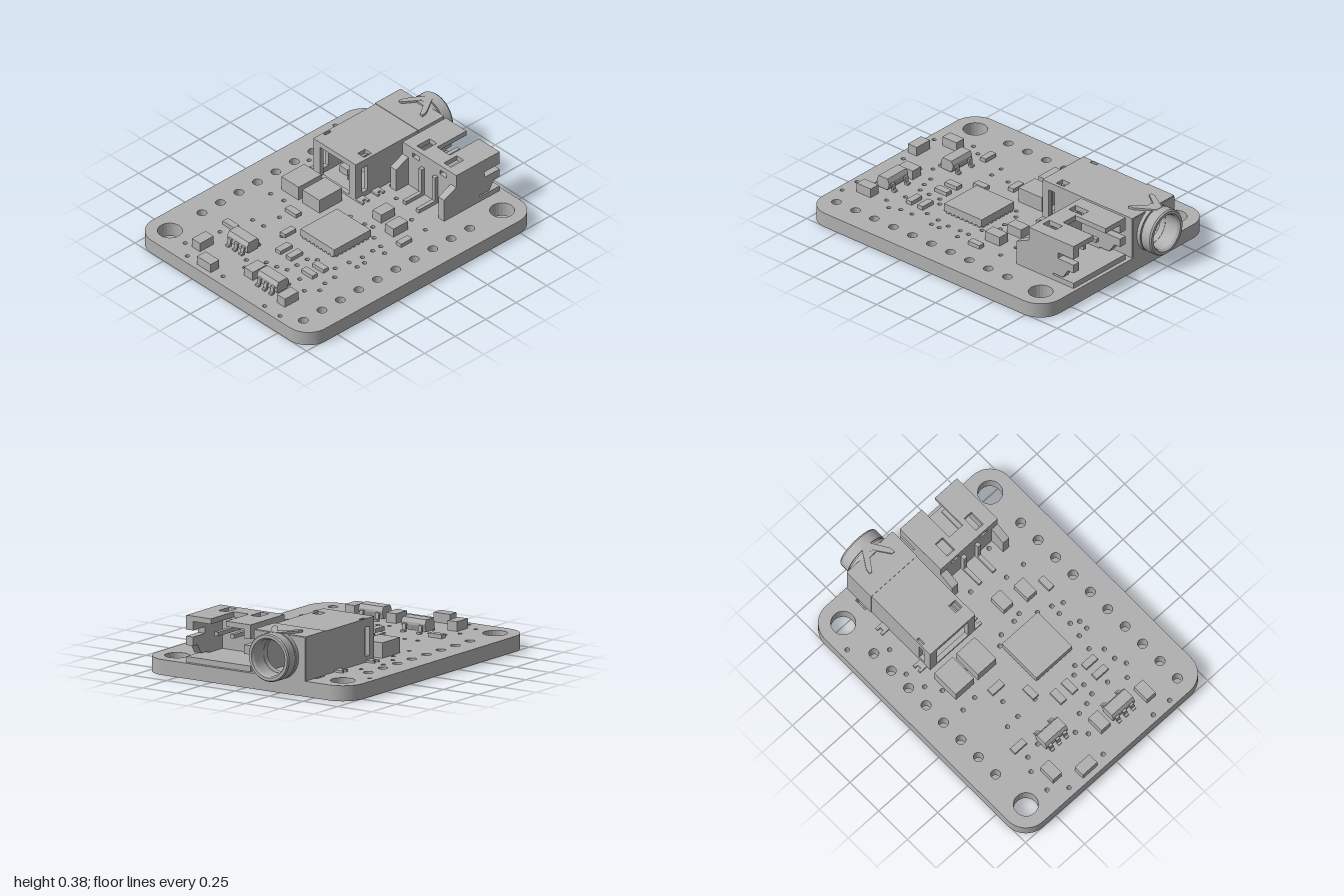
import * as THREE from 'three';

const grey = new THREE.MeshStandardMaterial({ color: 0xb0b0b0, side: THREE.DoubleSide });
grey.name = 'grey';

export function createModel() {
  const model = new THREE.Group();
  model.name = 'circuitBoardWithConnectors';

  const add = (name, geo, parent = model) => {
    const m = new THREE.Mesh(geo, grey);
    m.name = name;
    parent.add(m);
    return m;
  };
  const group = (name) => {
    const g = new THREE.Group();
    g.name = name;
    model.add(g);
    return g;
  };
  // box from its limits
  const box = (name, x0, x1, y0, y1, z0, z1, parent) => add(name,
    new THREE.BoxGeometry(x1 - x0, y1 - y0, z1 - z0)
      .translate((x0 + x1) / 2, (y0 + y1) / 2, (z0 + z1) / 2), parent);
  const poly = (pts) => new THREE.Shape(pts.map(([a, b]) => new THREE.Vector2(a, b)));
  const rect = (a0, a1, b0, b1) => poly([[a0, b0], [a1, b0], [a1, b1], [a0, b1]]);
  const circle = (a, b, r) => {
    const p = new THREE.Path();
    p.absarc(a, b, r, 0, Math.PI * 2, true);
    return p;
  };
  const extrude = (shape, holes, depth, curveSegments = 12) => {
    shape.holes.push(...holes);
    return new THREE.ExtrudeGeometry(shape, { depth, bevelEnabled: false, curveSegments });
  };
  // plates drawn as (x,-z), (-z,y) and (x,y), with thickness along y, x and z
  const plateY = (s, holes, y0, y1) => extrude(s, holes, y1 - y0).rotateX(-Math.PI / 2).translate(0, y0, 0);
  const plateX = (s, holes, x0, x1) => extrude(s, holes, x1 - x0, 24).rotateY(Math.PI / 2).translate(x0, 0, 0);
  const plateZ = (s, holes, z0, z1) => extrude(s, holes, z1 - z0).translate(0, 0, z0);

  const T = 0.095; // top of the board

  // board with rounded corners, mounting holes, pin holes, vias and jack holes
  const b = new THREE.Shape();
  const [X0, X1, Z, R] = [-1, 0.89, 0.755, 0.15];
  b.absarc(X1 - R, Z - R, R, 0, Math.PI / 2);
  b.absarc(X0 + R, Z - R, R, Math.PI / 2, Math.PI);
  b.absarc(X0 + R, -Z + R, R, Math.PI, Math.PI * 1.5);
  b.absarc(X1 - R, -Z + R, R, Math.PI * 1.5, Math.PI * 2);
  const holes = [[-0.85, -0.605], [0.74, -0.605], [0.74, 0.605]].map(([x, z]) => circle(x, -z, 0.075));
  for (let i = 0; i < 10; i++) {
    const x = -0.89 + i * 0.1515;
    holes.push(circle(x, -0.605, 0.03));
    if (i > 1) holes.push(circle(x, 0.605, 0.03));
  }
  const vias = [
    -.87, -.45, -.72, -.44, -.95, -.345, -.64, -.39, -.155, -.465, .02, -.47, .11, -.53, .245, -.555,
    .425, -.52, .6, -.705, -.415, -.345, -.41, -.255, -.28, -.255, -.145, -.36, .02, -.285, -.62, -.29,
    -.935, -.05, -.72, -.075, -.78, -.025, -.4, -.105, -.65, .025, -.635, .1, -.61, .165, -.535, .17,
    -.45, .17, -.62, .285, -.41, .215, -.39, .35, -.96, .34, -.96, .475, -.68, .39, -.61, .45,
    -.54, .42, -.455, .415, -.29, .365, -.285, .43, -.225, .43, -.195, .38, -.105, .375, -.04, .375,
    -.07, .44, -.01, -.025, .035, .03, .045, .145, .06, .2, -.01, .285, .28, .305, .27, .435,
    .43, -.03, .36, .085, .485, .355];
  for (let i = 0; i < vias.length; i += 2) holes.push(circle(vias[i], -vias[i + 1], 0.0135));
  holes.push(circle(0.312, 0.242, 0.033), circle(0.727, 0.242, 0.033));
  for (const z of [-0.437, -0.055]) holes.push(rect(0.71, 0.795, -z - 0.015, -z + 0.015));
  add('board', plateY(b, holes, 0, T));

  // small parts: centre x, centre z, size x, size z, top
  const chips = [
    [-.81, -.36, .112, .07, .155], [-.93, -.185, .07, .118, .155], [-.555, -.387, .043, .096, .12],
    [-.78, .067, .112, .075, .155], [-.825, .398, .112, .07, .155], [-.488, .005, .096, .046, .12],
    [-.488, .097, .096, .046, .12], [-.547, .292, .043, .096, .12], [-.457, .292, .043, .096, .12],
    [-.355, -.098, .091, .043, .12], [-.192, -.227, .046, .096, .12], [.137, .323, .117, .075, .155],
    [.177, .17, .112, .075, .155], [.085, .447, .091, .043, .12],
    [.015, -.377, .187, .15, .19], [.015, -.195, .187, .15, .19]];
  chips.forEach(([x, z, w, d, top], i) =>
    box('component' + (i + 1), x - w / 2, x + w / 2, T, top, z - d / 2, z + d / 2));

  // main square chip with a row of pads along its underside
  box('mainChip', -0.325, -0.025, 0.105, 0.155, -0.022, 0.272);
  for (let i = 0; i < 8; i++) {
    const t = 0.035 * (i - 3.5);
    box('chipPadRow', -0.175 + t - 0.009, -0.175 + t + 0.009, T, 0.106, -0.022, 0.272);
    box('chipPadRow', -0.325, -0.025, T, 0.106, 0.125 + t - 0.009, 0.125 + t + 0.009);
  }

  // five-legged regulators
  for (const [x, z] of [[-0.635, -0.192], [-0.78, 0.222]]) {
    const g = group('regulator');
    const c = [[-.048, .11], [-.048, .155], [-.035, .18], [.035, .18], [.048, .155], [.048, .14], [.035, .105], [-.035, .105]];
    add('regulatorBody', plateZ(poly(c), [], -0.087, 0.087), g);
    for (const [s, dz] of [[-1, -.058], [-1, 0], [-1, .058], [1, -.058], [1, .058]]) {
      const leg = [[.045, .145], [.062, .145], [.066, .107], [.08, .107], [.08, T], [.056, T], [.052, .133], [.045, .133]];
      add('regulatorLeg', plateZ(poly(leg.map(([u, v]) => [u * s, v])), [], dz - 0.013, dz + 0.013), g);
    }
    g.position.set(x, 0, z);
  }

  // audio jack: hollow housing
  const jack = group('audioJack');
  const [J0, J1, JT, ZA, ZB] = [0.165, 0.88, 0.362, -0.433, -0.062];
  const JZ = -0.242, JY = 0.232;
  add('jackRoof', plateY(rect(J0, J1, -ZB, -ZA),
    [rect(0.24, 0.29, 0.408, 0.425), rect(0.255, 0.315, 0.085, 0.14)], JT - 0.03, JT), jack);
  add('jackBackSideWall', plateZ(rect(J0, J1, T, JT - 0.03),
    [rect(0.215, 0.26, 0.13, 0.31), rect(0.7, 0.75, 0.25, 0.29)], ZA, ZA + 0.03), jack);
  add('jackFrontSideWall', plateZ(rect(J0, J1, T, JT - 0.03),
    [rect(0.215, 0.26, 0.13, 0.31)], ZB - 0.03, ZB), jack);
  add('jackRearFrame', plateX(rect(-ZB, -ZA, T, JT - 0.03), [rect(0.12, 0.375, 0.11, 0.325)], J0, J0 + 0.03), jack);
  add('jackFacePlate', plateX(rect(-ZB, -ZA, T, JT), [circle(-JZ, JY, 0.11)], J1 - 0.03, 0.89), jack);
  box('jackShieldTop', 0.675, 0.885, JT - 0.002, JT + 0.004, -0.437, -0.058, jack);
  for (const z of [-0.437, -0.063]) box('jackShieldSide', 0.675, 0.885, T, JT, z, z + 0.005, jack);
  box('jackContact', 0.3, 0.6, 0.2, 0.265, -0.185, -0.13, jack);
  box('jackContact', 0.3, 0.6, T, 0.14, -0.35, -0.28, jack);
  box('jackContact', 0.255, 0.315, 0.3, 0.345, -0.115, -0.108, jack);

  // jack barrel
  const ring = [[.112, .86], [.147, .86], [.147, .915], [.138, .915], [.138, .925], [.147, .925],
    [.147, .99], [.14, 1], [.122, 1], [.112, .985], [.112, .86]];
  const lathePts = [];
  ring.forEach((p, i) => { // doubled points keep the edges sharp
    lathePts.push(new THREE.Vector2(p[0], p[1]));
    if (i && i < ring.length - 1) lathePts.push(new THREE.Vector2(p[0], p[1]));
  });
  add('jackBarrel', new THREE.LatheGeometry(lathePts, 48).rotateZ(-Math.PI / 2).translate(0, JY, JZ), jack);

  // V-shaped rib running from the roof onto the barrel
  const rib = poly([[.785, .345], [.82, .34], [.94, .265], [.94, .219], [.82, .144], [.785, .139],
    [.785, .16], [.885, .23], [.885, .254], [.785, .324]]);
  add('jackRib', plateY(rib, [], 0.345, 0.38), jack);

  // forked solder tabs on both sides of the jack
  for (const [x, z, s] of [[.222, ZA, -1], [.55, ZA, -1], [.195, ZB, 1], [.32, ZB, 1]]) {
    const tab = [[-.03, 0], [.03, 0], [.03, .058], [.012, .058], [.012, .035], [-.012, .035], [-.012, .058], [-.03, .058]];
    add('jackTab', plateY(poly(tab.map(([u, v]) => [x + u, -z - v * s])), [], T, 0.108), jack);
  }

  // battery socket, open towards +x
  const sock = group('batterySocket');
  const [S0, S1, ST, SA, SB] = [0.51, 0.865, 0.383, -0.02, 0.45];
  const roof = poly([[S0, -SB], [S1, -SB], [S1, -.27], [.625, -.27], [.625, -.16], [S1, -.16], [S1, -SA], [S0, -SA]]);
  add('socketRoof', plateY(roof, [rect(.545, .65, -.365, -.305), rect(.545, .65, -.13, -.068)], 0.35, ST), sock);
  add('socketRearWall', plateX(rect(-SB, -SA, T, 0.35),
    [rect(-.365, -.305, .318, .348), rect(-.13, -.068, .318, .348)], S0, S0 + 0.05), sock);
  box('socketFloor', S0, S1, T, 0.13, SA, SB, sock);
  for (const z of [SA, SB - 0.05]) {
    const side = [[.41, T], [.7, T], [.7, .14], [.78, .14], [.82, .2], [S1, .2], [S1, .255], [.74, .255], [.74, .295],
      [S1, .295], [S1, .352], [S0, .352], [S0, .295], [.41, .25]];
    add('socketSideWall', plateZ(poly(side), [], z, z + 0.05), sock);
  }
  for (const z of [0.16, 0.275]) {
    box('socketPin', 0.5, 0.8, 0.265, 0.29, z - 0.013, z + 0.013, sock);
    box('socketPinDrop', 0.485, 0.51, T, 0.29, z - 0.013, z + 0.013, sock);
    box('socketPinFoot', 0.355, 0.51, T, 0.12, z - 0.013, z + 0.013, sock);
  }
  return model;
}
